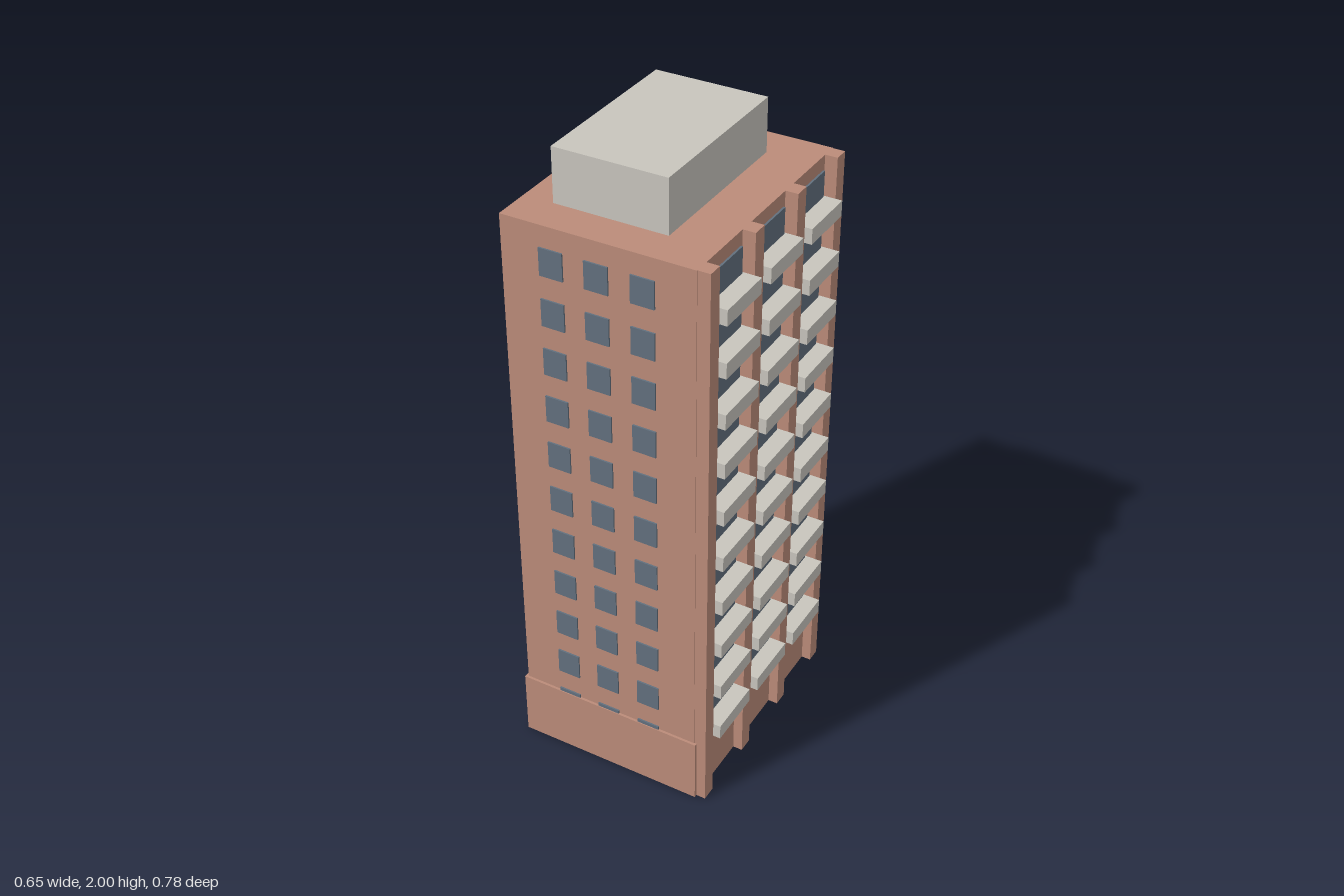
import * as THREE from 'three';

export function createModel() {
  const group = new THREE.Group();
  group.name = 'apartmentTower';
  const mat = (name, color) => {
    const m = new THREE.MeshStandardMaterial({ color });
    m.name = name;
    return m;
  };
  const brick = mat('brick', 0xbb8b79);
  const concrete = mat('concrete', 0xc8c5bd);
  const glass = mat('glass', 0x62707e);

  // Box given by its extents on each axis
  const box = (name, material, [x0, x1], [y0, y1], [z0, z1]) => {
    const mesh = new THREE.Mesh(new THREE.BoxGeometry(x1 - x0, y1 - y0, z1 - z0), material);
    mesh.position.set((x0 + x1) / 2, (y0 + y1) / 2, (z0 + z1) / 2);
    mesh.name = name;
    group.add(mesh);
  };

  const roofY = 1.836;
  box('tower', brick, [-0.32, 0.266], [0, roofY], [-0.38, 0.38]);
  box('base', brick, [-0.328, 0.274], [0, 0.217], [-0.388, 0.388]);
  box('roofHouse', concrete, [-0.228, 0.12], [roofY, 2], [-0.267, 0.265]);

  // Full-height piers dividing the balcony side into three bays
  for (const [z0, z1] of [[0.332, 0.378], [0.095, 0.143], [-0.143, -0.095], [-0.378, -0.332]]) {
    box('pier', brick, [0.25, 0.304], [0, roofY], [z0, z1]);
  }

  // Balconies with wide windows behind them
  for (let floor = 0; floor < 10; floor++) {
    const y = 0.222 + floor * 0.1603;
    for (const z of [-0.237, 0, 0.237]) {
      box('balconyWindow', glass, [0.264, 0.272], [y + 0.004, y + 0.128], [z - 0.086, z + 0.086]);
      box('balcony', concrete, [0.265, 0.326], [y, y + 0.048], [z - 0.092, z + 0.092]);
    }
  }

  // Small windows on the front and back walls
  for (let row = 0; row < 11; row++) {
    const top = 0.228 + row * 0.1543;
    for (const x of [-0.165, -0.028, 0.11]) {
      for (const side of [-1, 1]) {
        const z = side * 0.381;
        box('wallWindow', glass, [x - 0.036, x + 0.036], [top - 0.084, top], [z - 0.004, z + 0.004]);
      }
    }
  }
  return group;
}
